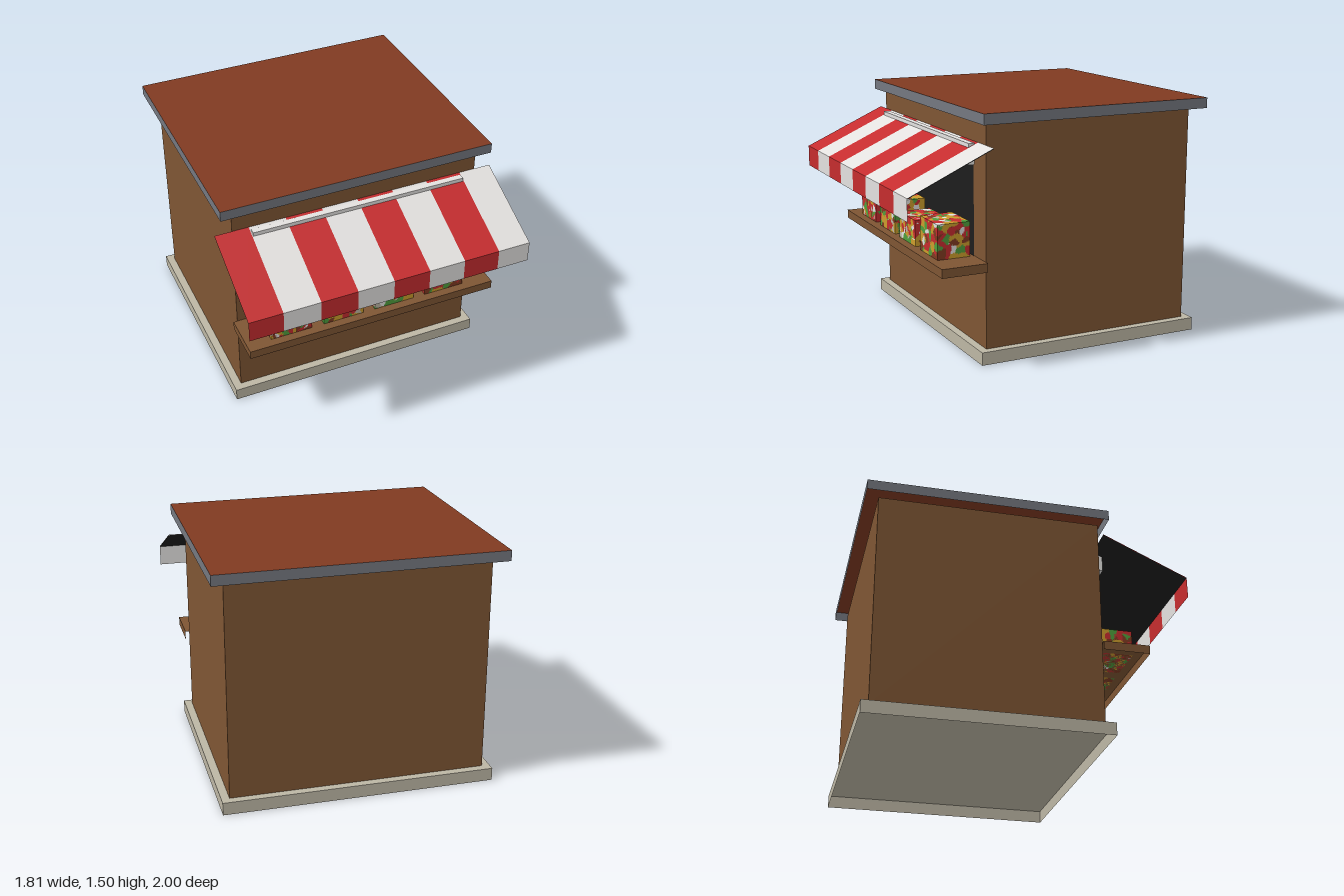
import * as THREE from 'three';

// Parts are open shells, so both sides show
const flat = (name, color) => {
  const m = new THREE.MeshStandardMaterial({ color, side: THREE.DoubleSide });
  m.name = name;
  return m;
};

// Face numbers of a box
const RIGHT = 0, LEFT = 1, TOP = 2, FRONT = 4, BACK = 5;
const ALL = [0, 1, 2, 3, 4, 5];
const SIDES = [RIGHT, LEFT, FRONT, BACK];

export function createModel() {
  const wood = flat('wood brown', 0x7e5533);
  const roofing = flat('roof red brown', 0x803a21);
  const trim = flat('slate trim', 0x74777f);
  const stone = flat('stone', 0xbcb6a4);
  const red = flat('awning red', 0xc52c2e);
  const white = flat('awning white', 0xe3e1df);
  const dark = flat('dark opening', 0x1d1d1d);
  const green = flat('produce green', 0x4f9e3c);
  const gold = flat('produce gold', 0xcb9c2c);

  const model = new THREE.Group();
  model.name = 'marketStall';

  // Box given by its limits on each axis, keeping only the listed faces
  const box = (name, material, [x0, x1], [y0, y1], [z0, z1], faces = ALL, parent = model) => {
    const geometry = new THREE.BoxGeometry(x1 - x0, y1 - y0, z1 - z0);
    const index = Array.from(geometry.index.array);
    geometry.setIndex(faces.flatMap((f) => index.slice(f * 6, f * 6 + 6)));
    geometry.clearGroups();
    const mesh = new THREE.Mesh(geometry, material);
    mesh.position.set((x0 + x1) / 2, (y0 + y1) / 2, (z0 + z1) / 2);
    mesh.name = name;
    parent.add(mesh);
  };

  // Building: hollow below the floor slab and under the roof
  box('foundation', stone, [-0.85, 0.85], [0, 0.08], [-0.97, 0.52], [...SIDES, TOP]);
  box('walls', wood, [-0.8, 0.8], [0.08, 1.44], [-0.92, 0.47], SIDES);
  box('roofRim', trim, [-0.88, 0.88], [1.44, 1.505], [-1, 0.52], SIDES);
  box('roof', roofing, [-0.88, 0.88], [1.44, 1.505], [-1, 0.52], [TOP]);

  // Serving opening and counter
  box('servingOpening', dark, [-0.64, 0.64], [0.615, 1.18], [0.468, 0.474], [FRONT]);
  box('counter', wood, [-0.825, 0.825], [0.56, 0.615], [0.47, 0.762], [RIGHT, LEFT, TOP, FRONT]);

  // Striped awning: sloping cloth over a dark lining, and a hanging valance
  const awning = new THREE.Group();
  awning.name = 'awning';
  model.add(awning);
  const halfWidth = 0.907;
  const back = { y: 1.31, z: 0.47 }, front = { y: 1.072, z: 1 };
  const run = front.z - back.z, drop = back.y - front.y;
  const halfLength = Math.hypot(run, drop) / 2;
  const slope = new THREE.Group();
  slope.name = 'awningSlope';
  slope.position.set(0, (back.y + front.y) / 2, (back.z + front.z) / 2);
  slope.rotation.x = Math.atan2(drop, run);
  awning.add(slope);
  const stripeEdge = (i) => THREE.MathUtils.clamp((i - 4) * 0.232, -halfWidth, halfWidth);
  for (let i = 0; i < 8; i++) {
    const cloth = i % 2 ? white : red;
    const span = [stripeEdge(i), stripeEdge(i + 1)];
    box('awningStripe', cloth, span, [-0.002, 0], [-halfLength, halfLength], [TOP], slope);
    box('valanceStripe', cloth, span, [0.937, front.y], [front.z - 0.002, front.z], [FRONT], awning);
  }
  box('awningLining', dark, [-halfWidth, halfWidth], [-0.006, -0.004], [-halfLength, halfLength], [TOP], slope);
  box('awningBoard', white, [-0.69, 0.69], [1.18, 1.308], [0.491, 0.53], ALL, awning);

  // Mottled produce: fine box cells take the colour of the nearest seed point
  let state = 4217;
  const random = () => (state = (state * 16807) % 2147483647) / 2147483647;
  const palette = [red, green, gold, white, roofing, stone];
  const chances = [0, 0, 0, 0, 0, 0, 1, 1, 1, 2, 2, 2, 3, 3, 4, 4, 5];
  const produce = (name, x0, x1, top) => {
    const w = x1 - x0, h = top - 0.615, d = 0.21;
    const geometry = new THREE.BoxGeometry(w, h, d, 30, 22, 24);
    const index = geometry.index.array;
    const pos = geometry.getAttribute('position');
    const seeds = Array.from({ length: 420 }, () => ({
      p: new THREE.Vector3((random() - 0.5) * w, (random() - 0.5) * h, (random() - 0.5) * d),
      c: chances[Math.floor(random() * chances.length)],
    }));
    const buckets = palette.map(() => []);
    const centre = new THREE.Vector3(), v = new THREE.Vector3();
    for (let i = 0; i < index.length; i += 3) {
      const corners = [index[i], index[i + 1], index[i + 2]];
      centre.set(0, 0, 0);
      for (const k of corners) centre.addScaledVector(v.fromBufferAttribute(pos, k), 1 / 3);
      let best = Infinity, colour = 0;
      for (const s of seeds) {
        const dist = s.p.distanceToSquared(centre);
        if (dist < best) { best = dist; colour = s.c; }
      }
      buckets[colour].push(...corners);
    }
    geometry.setIndex(buckets.flat());
    geometry.clearGroups();
    let start = 0;
    buckets.forEach((b, m) => { geometry.addGroup(start, b.length, m); start += b.length; });
    const mesh = new THREE.Mesh(geometry, palette);
    mesh.position.set((x0 + x1) / 2, 0.615 + h / 2, 0.603);
    mesh.name = name;
    model.add(mesh);
  };
  [-0.67, -0.322, 0.023, 0.37].forEach((x, i) => produce('produceStack', x, x + 0.268, i % 2 ? 0.83 : 0.78));

  return model;
}
